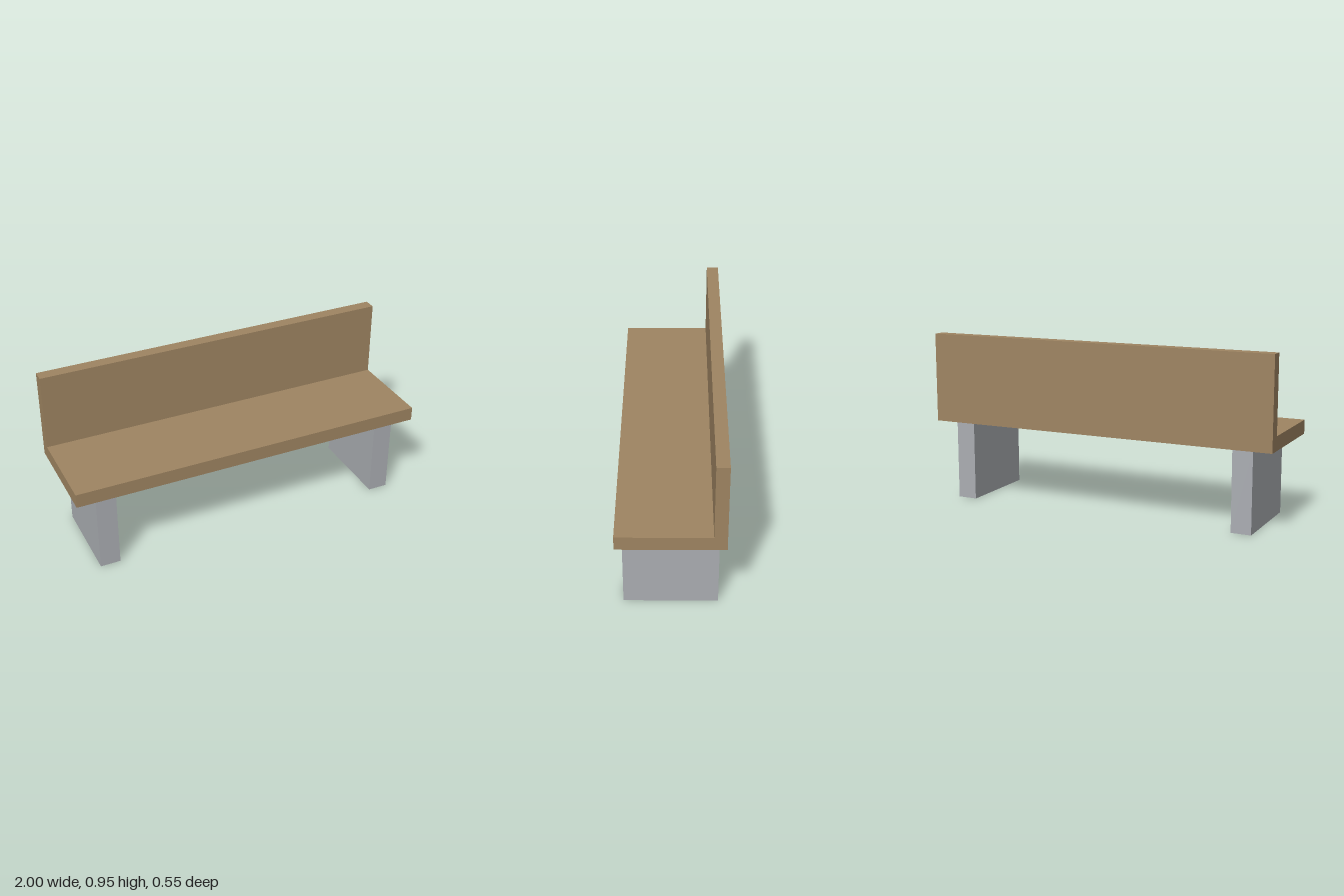
import * as THREE from 'three';

export function createModel() {
  const bench = new THREE.Group();
  bench.name = 'bench';

  const wood = new THREE.MeshStandardMaterial({ color: 0x9f8562 });
  const stone = new THREE.MeshStandardMaterial({ color: 0xabaeb3 });

  // Seat and backrest: one L-shaped section (drawn as z, y) run along the length
  const length = 2;
  const section = new THREE.Shape([
    [0.277, 0.446], [0.277, 0.523], [-0.21, 0.523],
    [-0.21, 0.946], [-0.277, 0.946], [-0.277, 0.446],
  ].map(([z, y]) => new THREE.Vector2(-z, y)));
  const seatGeometry = new THREE.ExtrudeGeometry(section, { depth: length, bevelEnabled: false });
  seatGeometry.translate(0, 0, -length / 2).rotateY(Math.PI / 2);
  const seat = new THREE.Mesh(seatGeometry, wood);
  seat.name = 'seatAndBackrest';
  bench.add(seat);

  // Two slab legs, mirrored left and right
  const legHeight = 0.446;
  const legGeometry = new THREE.BoxGeometry(0.111, legHeight, 0.488);
  for (const [name, side] of [['leftLeg', 1], ['rightLeg', -1]]) {
    const leg = new THREE.Mesh(legGeometry, stone);
    leg.name = name;
    leg.position.set(side * 0.833, legHeight / 2, 0);
    bench.add(leg);
  }

  return bench;
}
